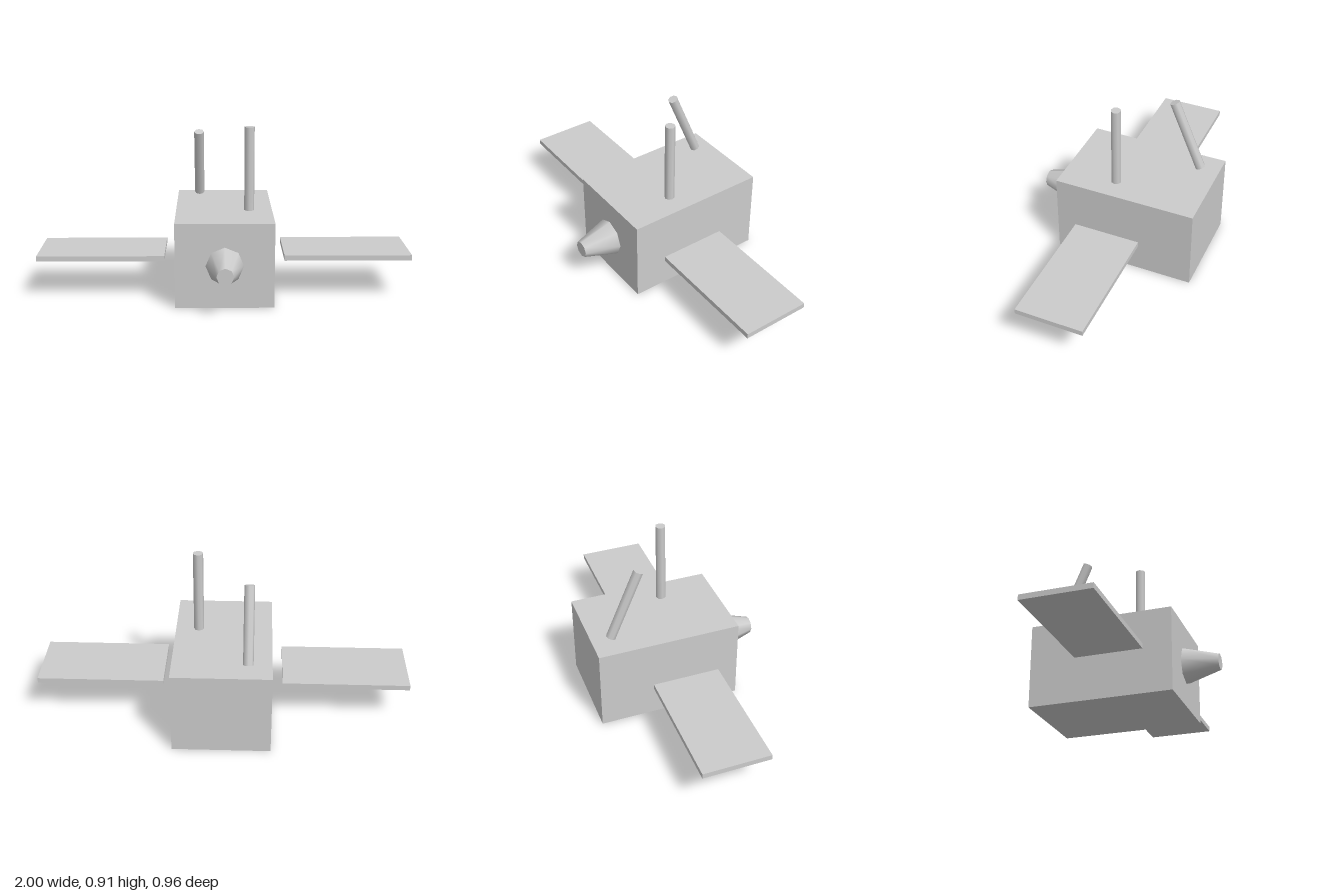
import * as THREE from 'three';

export function createModel() {
  const model = new THREE.Group();
  const grey = new THREE.MeshStandardMaterial({ color: 0xcccccc });

  const add = (name, geometry, x, y, z, tilt = 0) => {
    const mesh = new THREE.Mesh(geometry, grey);
    mesh.name = name;
    mesh.position.set(x, y, z);
    mesh.rotation.x = tilt;
    model.add(mesh);
  };

  // Main hull
  add('body', new THREE.BoxGeometry(0.52, 0.455, 0.772), 0, 0.2275, -0.091);

  // Tapered nozzle on the front face
  add('nozzle', new THREE.CylinderGeometry(0.045, 0.1, 0.184, 8), 0, 0.229, 0.387, Math.PI / 2);

  // Flat panels floating beside the hull
  for (const [name, side] of [['leftPanel', 1], ['rightPanel', -1]]) {
    add(name, new THREE.BoxGeometry(0.68, 0.028, 0.364), side * 0.66, 0.229, -0.022);
  }

  // Upright antenna and the forward-leaning one behind it
  add('uprightAntenna', new THREE.CylinderGeometry(0.027, 0.027, 0.455, 8), 0.136, 0.6825, 0);
  add('tiltedAntenna', new THREE.CylinderGeometry(0.027, 0.027, 0.408, 8), -0.136, 0.66, -0.295, 0.4);

  return model;
}
